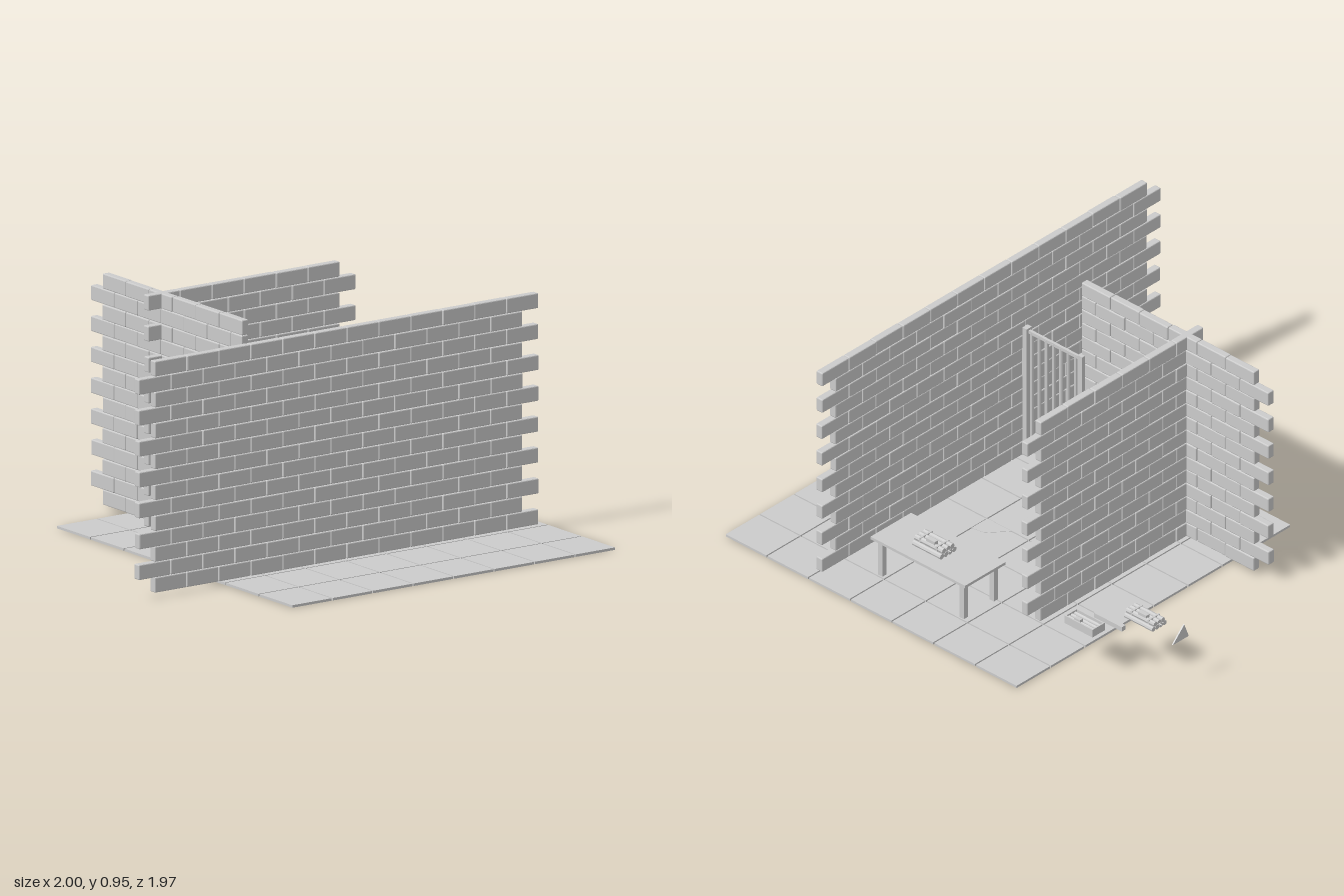
import * as THREE from 'three';
import { mergeGeometries } from 'three/addons/utils/BufferGeometryUtils.js';
import { RoundedBoxGeometry } from 'three/addons/geometries/RoundedBoxGeometry.js';

const grey = new THREE.MeshStandardMaterial({ color: 0xcccccc, flatShading: true });
const BRICK = 0.154, ROW = 0.062, ROWS = 15, BASE = 0.02, THICK = 0.032;

// Box geometry given by its min and max corners
function box(x0, x1, y0, y1, z0, z1) {
  return new THREE.BoxGeometry(x1 - x0, y1 - y0, z1 - z0)
    .translate((x0 + x1) / 2, (y0 + y1) / 2, (z0 + z1) / 2);
}

function part(name, geometries) {
  const mesh = new THREE.Mesh(mergeGeometries(geometries), grey);
  mesh.name = name;
  return mesh;
}

// Running-bond wall along x; odd rows start half a brick earlier
function brickWall(name, count, start, oddStart, fillOddEnd = false) {
  const bricks = [];
  let seed = count * 17 + 3;
  const rand = () => (seed = (seed * 16807) % 2147483647) / 2147483647 - 0.5;
  const add = (x, y, length) => {
    bricks.push(new RoundedBoxGeometry(length - 0.002, ROW - 0.001, THICK, 1, 0.004)
      .translate(x + length / 2, y, rand() * 0.003));
  };
  for (let r = 0; r < ROWS; r++) {
    const x0 = r % 2 ? oddStart : start;
    const y = BASE + (r + 0.5) * ROW;
    for (let i = 0; i < count; i++) add(x0 + i * BRICK, y, BRICK);
    if (fillOddEnd && r % 2) add(x0 + count * BRICK, y, BRICK / 2);
  }
  return part(name, bricks);
}

function floor() {
  const tiles = [], w = 1.56 / 7, d = 1.56 / 8, gap = 0.003;
  for (let i = 0; i < 7; i++) {
    for (let j = 0; j < 8; j++) {
      const x = -0.56 + i * w, z = -0.99 + j * d;
      tiles.push(box(x + gap, x + w - gap, 0, 0.01, z + gap, z + d - gap));
    }
  }
  return part('floorTiles', tiles);
}

// Flat plate cut from an outline, extruded by its thickness
function plate(name, points, thickness) {
  const shape = new THREE.Shape(points.map(([x, y]) => new THREE.Vector2(x, y)));
  return part(name, [new THREE.ExtrudeGeometry(shape, { depth: thickness, bevelEnabled: false })]);
}

function gate() {
  const g = new THREE.Group();
  g.name = 'gate';
  g.add(part('gatePosts', [
    box(0.214, 0.238, 0.03, 0.615, 0.205, 0.235),
    box(0.506, 0.53, 0.03, 0.615, 0.2, 0.23)]));
  g.add(part('gateRails', [0.045, 0.592].map(y => box(0.238, 0.506, y, y + 0.014, 0.21, 0.222))));
  const bars = [];
  for (let i = 0; i < 7; i++) {
    bars.push(new THREE.CylinderGeometry(0.008, 0.008, 0.55, 8).translate(0.258 + i * 0.039, 0.325, 0.216));
  }
  g.add(part('gateBars', bars));
  g.add(part('gateLatch', [box(0.236, 0.29, 0.3, 0.328, 0.205, 0.227)]));
  return g;
}

function table() {
  const g = new THREE.Group();
  g.name = 'table';
  g.add(part('tableTop', [box(-0.115, 0.39, 0.178, 0.19, -0.81, -0.58)]));
  const legs = [];
  for (const x of [-0.08, 0.355]) {
    for (const z of [-0.78, -0.61]) legs.push(box(x - 0.012, x + 0.012, 0.015, 0.18, z - 0.012, z + 0.012));
  }
  g.add(part('tableLegs', legs));
  return g;
}

// Sticks lying along x in two layers, held by straps, with a small box on top
function bundle(name, x, y, z, width) {
  const g = new THREE.Group();
  g.name = name;
  const r = width / 8, sticks = [];
  const stick = (h, d) => sticks.push(
    new THREE.CylinderGeometry(r, r, 0.15, 8).rotateZ(Math.PI / 2).translate(0, h, d));
  for (let i = 0; i < 4; i++) stick(r, (i - 1.5) * 2 * r);
  for (let i = 0; i < 3; i++) stick(r * 2.73, (i - 1) * 2 * r);
  g.add(part('sticks', sticks));
  g.add(part('straps', [-0.045, 0.045].map(c =>
    box(c - 0.004, c + 0.004, r * 0.3, r * 3.8, -r * 3, r * 3))));
  g.add(part('topBox', [box(-0.03, 0.015, r * 3.4, r * 4.7, -r * 2.5, -r * 0.8)]));
  g.add(part('fuse', [new THREE.CylinderGeometry(0.002, 0.004, 0.016, 6)
    .rotateZ(Math.PI / 2).translate(-0.082, r * 2, 0)]));
  g.position.set(x, y, z);
  return g;
}

// Shallow crate with sticks inside
function crate() {
  const g = new THREE.Group();
  g.name = 'crate';
  g.add(part('crateSides', [
    box(-0.075, 0.075, 0, 0.006, -0.035, 0.035),
    box(-0.075, 0.075, 0, 0.035, -0.035, -0.029),
    box(-0.075, 0.075, 0, 0.035, 0.029, 0.035),
    box(-0.075, -0.069, 0, 0.035, -0.029, 0.029),
    box(0.069, 0.075, 0, 0.035, -0.029, 0.029)]));
  g.add(part('crateSticks', [-0.019, 0, 0.019].map(z =>
    new THREE.CylinderGeometry(0.0095, 0.0095, 0.134, 8).rotateZ(Math.PI / 2).translate(0, 0.022, z))));
  g.add(part('crateBox', [box(0, 0.03, 0.025, 0.042, -0.027, -0.01)]));
  g.position.set(-0.655, 0.195, -0.705);
  return g;
}

export function createModel() {
  const model = new THREE.Group();
  model.name = 'brickRoom';
  model.add(floor());

  // Walls
  const front = brickWall('frontWall', 6, -0.69, -0.767, true);
  front.position.z = 0.237;
  const long = brickWall('longWall', 12, -0.91, -0.987);
  long.rotation.y = Math.PI / 2;
  long.position.x = 0.545;
  const inner = brickWall('innerWall', 6, -0.318, -0.241);
  inner.rotation.y = Math.PI / 2;
  inner.position.x = -0.312;
  model.add(front, long, inner, gate(), table());

  // Loose objects
  model.add(bundle('tableBundle', 0.153, 0.19, -0.7, 0.095));
  model.add(bundle('looseBundle', -0.805, 0.2, -0.52, 0.085));
  model.add(crate());
  model.add(part('looseStick', [box(-0.79, -0.64, 0.2, 0.22, -0.637, -0.615)]));

  // Upright shard facing sideways
  const shard = plate('shard', [[0.48, 0.2], [0.57, 0.2], [0.505, 0.265]], 0.006);
  shard.rotation.y = Math.PI / 2;
  shard.position.x = -1;
  model.add(shard);

  // Flat slivers lying on the floor
  const slivers = [
    plate('floorSliver', [[0, 0.02], [0.065, -0.17], [0.115, -0.09], [0.145, 0.06], [0.075, 0.145]], 0.002),
    plate('smallSliver', [[0.2, 0.21], [0.33, 0.21], [0.33, 0.3], [0.27, 0.29]], 0.002)];
  for (const s of slivers) {
    s.rotation.x = -Math.PI / 2;
    s.position.y = 0.0095;
    model.add(s);
  }
  return model;
}
